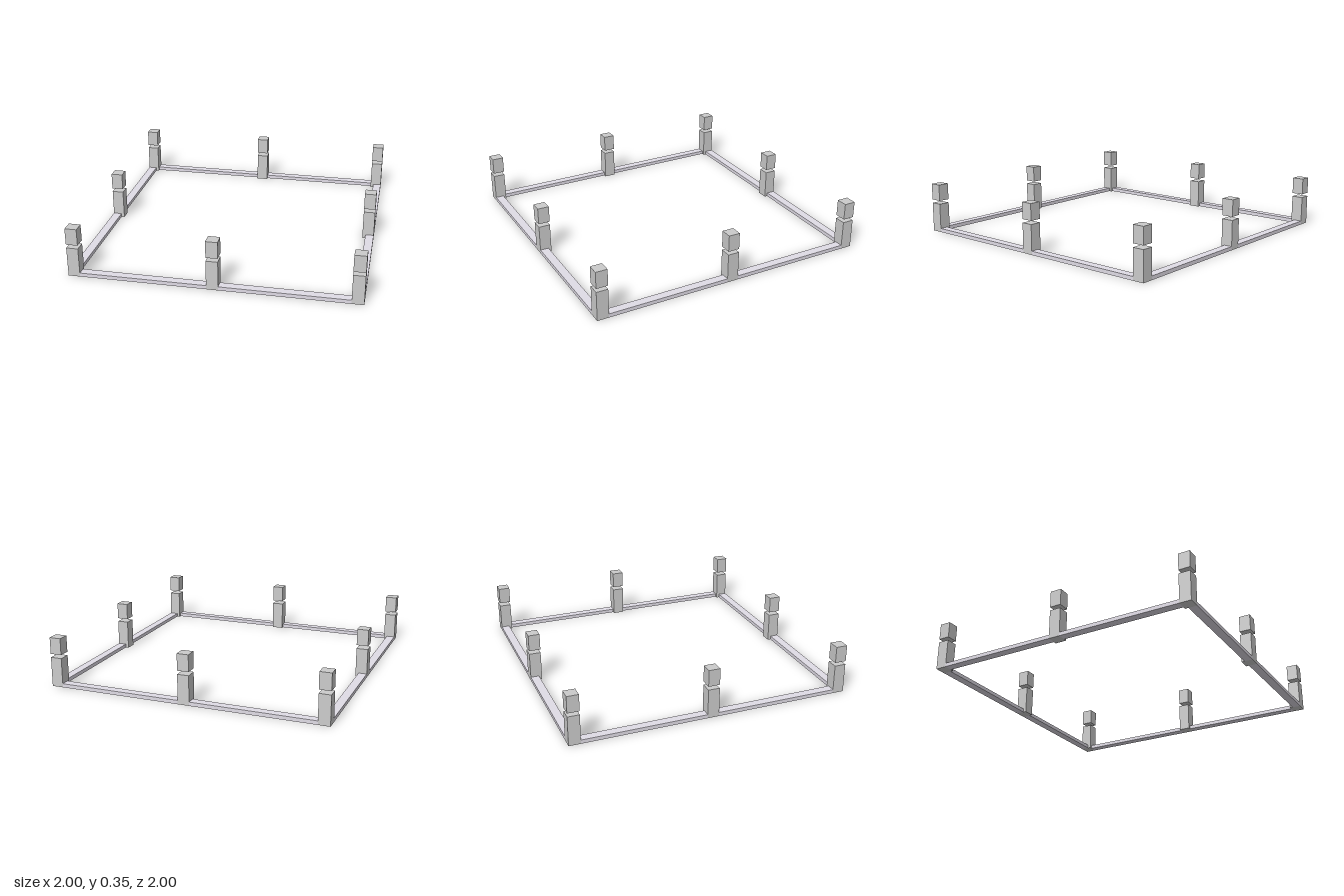
import * as THREE from 'three';

const POST = 0.082;          // post side length
const EDGE = 1 - POST / 2;   // post centre distance from the middle
const RAIL_W = 0.06;
const RAIL_H = 0.027;

export function createModel() {
  const model = new THREE.Group();
  const grey = new THREE.MeshStandardMaterial({ color: 0xcccccc });
  const pale = new THREE.MeshStandardMaterial({ color: 0xe0dce6 });

  // Box standing on height y
  const addBox = (parent, name, material, w, h, d, x, y, z) => {
    const mesh = new THREE.Mesh(new THREE.BoxGeometry(w, h, d), material);
    mesh.name = name;
    mesh.position.set(x, y + h / 2, z);
    parent.add(mesh);
  };

  // Posts at the corners and side middles, each with a separate floating cap block
  for (const i of [-1, 0, 1]) {
    for (const j of [-1, 0, 1]) {
      if (i === 0 && j === 0) continue;
      const post = new THREE.Group();
      post.name = i && j ? 'cornerPost' : 'middlePost';
      post.position.set(i * EDGE, 0, j * EDGE);
      addBox(post, 'postBase', grey, POST, 0.21, POST, 0, 0, 0);
      addBox(post, 'postCap', grey, POST, 0.118, POST, 0, 0.235, 0);
      model.add(post);
    }
  }

  // Low rails between neighbouring posts, flush with the outer edge
  const length = EDGE - POST;
  const offset = 1 - RAIL_W / 2;
  for (const side of [-1, 1]) {
    for (const half of [-1, 1]) {
      const along = half * EDGE / 2;
      addBox(model, side > 0 ? 'frontRail' : 'backRail', pale, length, RAIL_H, RAIL_W, along, 0, side * offset);
      addBox(model, side > 0 ? 'leftRail' : 'rightRail', pale, RAIL_W, RAIL_H, length, side * offset, 0, along);
    }
  }
  return model;
}
